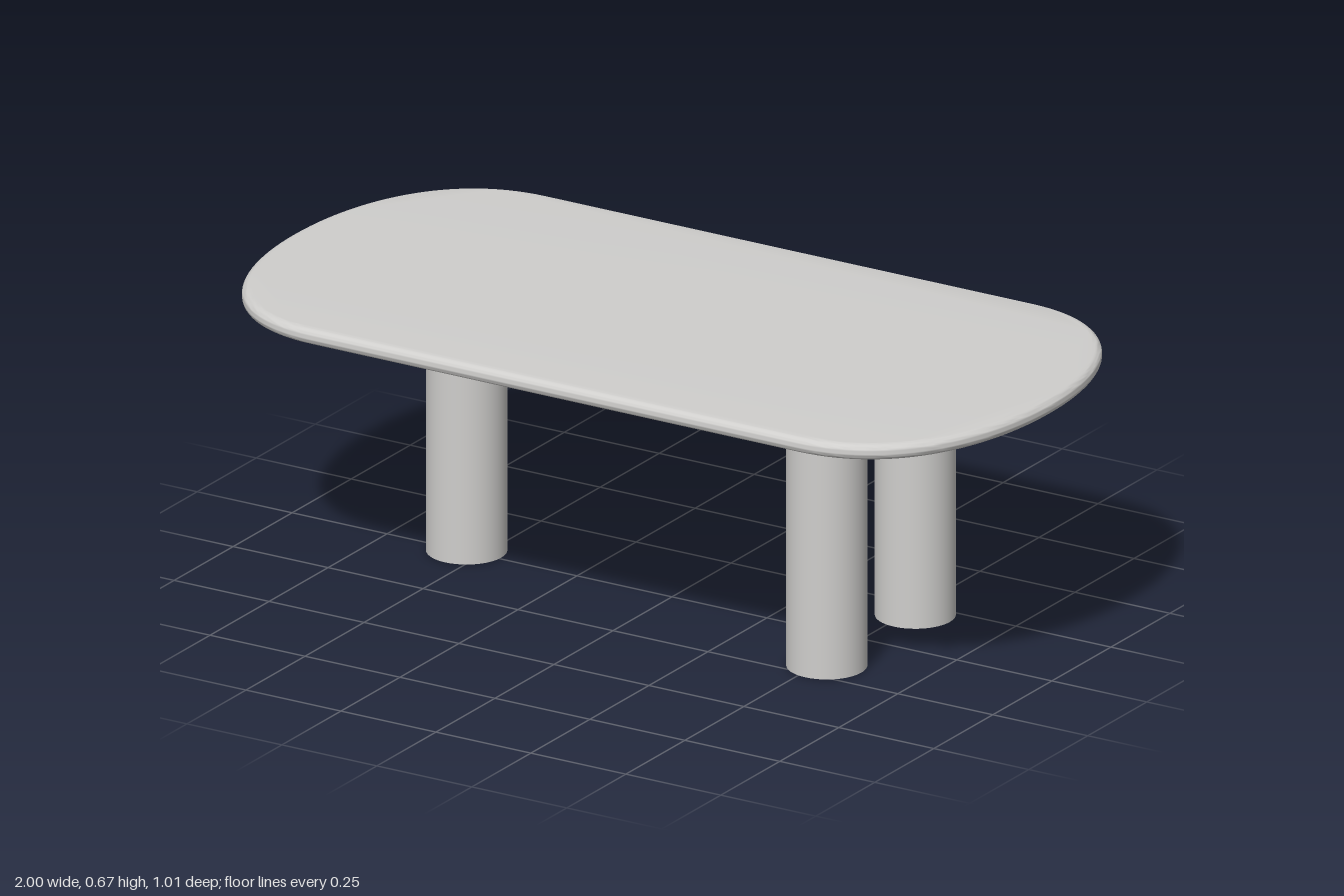
import * as THREE from 'three';
import { toCreasedNormals } from 'three/addons/utils/BufferGeometryUtils.js';

const TOP_Y = 0.672, UNDER_Y = 0.634, LEG_RADIUS = 0.091;

// Outline with straight long sides and softly bowed ends
function topOutline() {
  const w = 1, d = 0.505, flat = 0.64, cx = 0.88, cz = 0.28;
  const s = new THREE.Shape();
  s.moveTo(w, 0);
  s.bezierCurveTo(w, cz, cx, d, flat, d);
  s.lineTo(-flat, d);
  s.bezierCurveTo(-cx, d, -w, cz, -w, 0);
  s.bezierCurveTo(-w, -cz, -cx, -d, -flat, -d);
  s.lineTo(flat, -d);
  s.bezierCurveTo(cx, -d, w, -cz, w, 0);
  return s;
}

export function createModel() {
  const group = new THREE.Group();
  const stone = new THREE.MeshStandardMaterial({ color: 0xcfcecc });
  stone.name = 'paleGrey';

  // Table top with a rounded rim
  const thickness = TOP_Y - UNDER_Y, rim = 0.017;
  const slab = new THREE.ExtrudeGeometry(topOutline(), {
    depth: thickness - 2 * rim, curveSegments: 28,
    bevelThickness: rim, bevelSize: 0.02, bevelOffset: -0.02, bevelSegments: 8,
  });
  slab.rotateX(-Math.PI / 2);
  slab.translate(0, UNDER_Y + rim, 0);
  const top = new THREE.Mesh(toCreasedNormals(slab, 0.6), stone);
  top.name = 'tableTop';
  group.add(top);

  // Three column legs: a pair at one end, a single one at the other
  const height = UNDER_Y + 0.003;
  const column = new THREE.CylinderGeometry(LEG_RADIUS, LEG_RADIUS, height, 48);
  const legs = { leftFrontLeg: [0.52, 0.181], leftBackLeg: [0.52, -0.194], rightLeg: [-0.545, -0.007] };
  for (const [name, [x, z]] of Object.entries(legs)) {
    const leg = new THREE.Mesh(column, stone);
    leg.name = name;
    leg.position.set(x, height / 2, z);
    group.add(leg);
  }
  return group;
}
